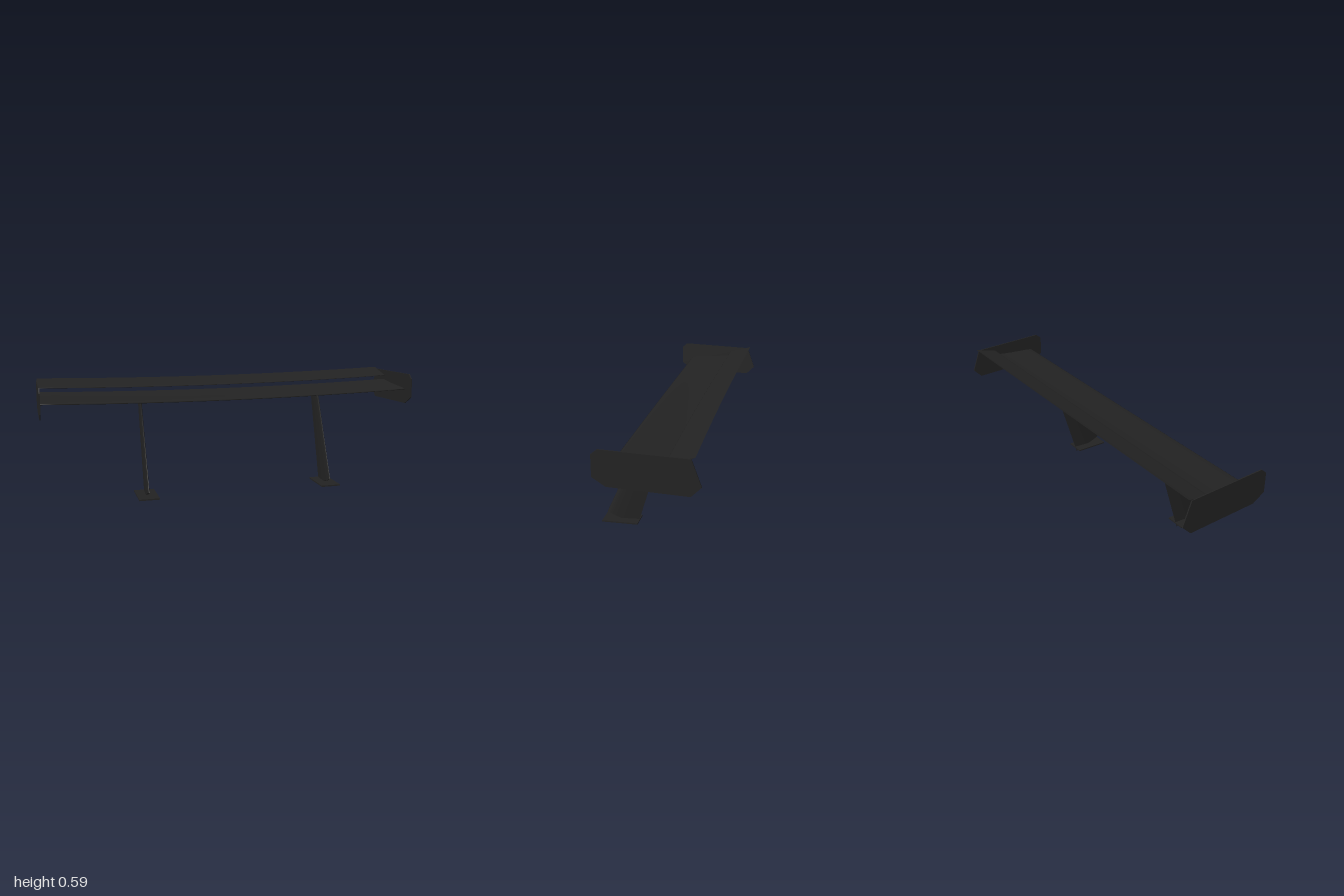
import * as THREE from 'three';

const carbon = new THREE.MeshStandardMaterial({ color: 0x222222 });
carbon.name = 'black';

// Airfoil outline: trailing edge -> upper side -> nose -> lower side -> trailing edge.
// Each point is [fraction of chord from the nose, offset].
function foil(thickness, camber, steps = 12) {
  const half = (side) => Array.from({ length: steps + 1 }, (_, i) => {
    const u = (1 + Math.cos((Math.PI * i) / steps)) / 2;
    return [u, 4 * u * (1 - u) * camber + side * thickness * 1.3 * Math.sqrt(u) * (1 - u)];
  });
  return [...half(1), ...half(-1).reverse().slice(1)];
}

// Skin a row of equal-length sections and close both ends.
function loft(sections) {
  const n = sections[0].length;
  const pos = sections.flat(2);
  const index = [];
  for (let j = 0; j < sections.length - 1; j++) {
    for (let i = 0; i < n - 1; i++) {
      const a = j * n + i, c = a + n;
      index.push(a, a + 1, c, a + 1, c + 1, c);
    }
  }
  [sections[0], sections[sections.length - 1]].forEach((section, end) => {
    const o = pos.length / 3;
    pos.push(...section.flat());
    for (let i = 0; i < (n - 1) / 2; i++) {
      const a = o + i, b = a + 1, c = o + n - 1 - i, d = c - 1;
      index.push(...(end ? [a, b, c, b, d, c] : [a, c, b, b, c, d]));
    }
  });
  const g = new THREE.BufferGeometry();
  g.setAttribute('position', new THREE.Float32BufferAttribute(pos, 3));
  g.setIndex(index);
  g.computeVertexNormals();
  return g;
}

// Full-span wing: nose and tail are [z, y] at mid-span; the tips sweep back and up.
function wing(nose, tail, thickness, camber) {
  const outline = foil(thickness, camber);
  const sections = [];
  for (let j = 0; j <= 24; j++) {
    const x = -0.996 + (1.992 * j) / 24;
    const bow = 0.015 * x * x;
    sections.push(outline.map(([u, t]) => [
      x,
      nose[1] + (tail[1] - nose[1]) * u + t + bow,
      nose[0] + (tail[0] - nose[0]) * u - bow,
    ]));
  }
  return loft(sections);
}

// Leaning strut with a thin streamlined section.
function strut() {
  const outline = foil(0.013, 0);
  const ends = [
    { nose: [0.277, 0.061], tail: [0.121, 0.001] },
    { nose: [0.08, 0.49], tail: [-0.029, 0.491] },
  ];
  return loft(ends.map(({ nose, tail }) => outline.map(([u, t]) => [
    -t,
    nose[1] + (tail[1] - nose[1]) * u,
    nose[0] + (tail[0] - nose[0]) * u,
  ])));
}

// Endplate outline in (z, y), extruded across x.
function endPlate() {
  const outline = [[0.184, 0.57], [0.155, 0.594], [-0.245, 0.58], [-0.289, 0.459],
    [-0.243, 0.413], [0.122, 0.428], [0.184, 0.468]];
  const shape = new THREE.Shape(outline.map(([z, y]) => new THREE.Vector2(-z, y)));
  const g = new THREE.ExtrudeGeometry(shape, { depth: 0.006, bevelEnabled: false });
  return g.translate(0, 0, -0.003).rotateY(Math.PI / 2);
}

export function createModel() {
  const model = new THREE.Group();
  model.name = 'rearWing';
  const add = (name, geometry, x = 0, y = 0, z = 0) => {
    const mesh = new THREE.Mesh(geometry, carbon);
    mesh.name = name;
    mesh.position.set(x, y, z);
    model.add(mesh);
  };

  add('mainWing', wing([0.13, 0.491], [-0.128, 0.516], 0.016, -0.008));
  add('upperFlap', wing([-0.12, 0.538], [-0.247, 0.574], 0.011, -0.005));

  for (const [side, s] of [['left', 1], ['right', -1]]) {
    add(side + 'EndPlate', endPlate(), s * 0.997);
    add(side + 'Strut', strut(), s * 0.488);
    add(side + 'Foot', new THREE.BoxGeometry(0.104, 0.007, 0.182), s * 0.488, 0.03, 0.2);
  }
  return model;
}
